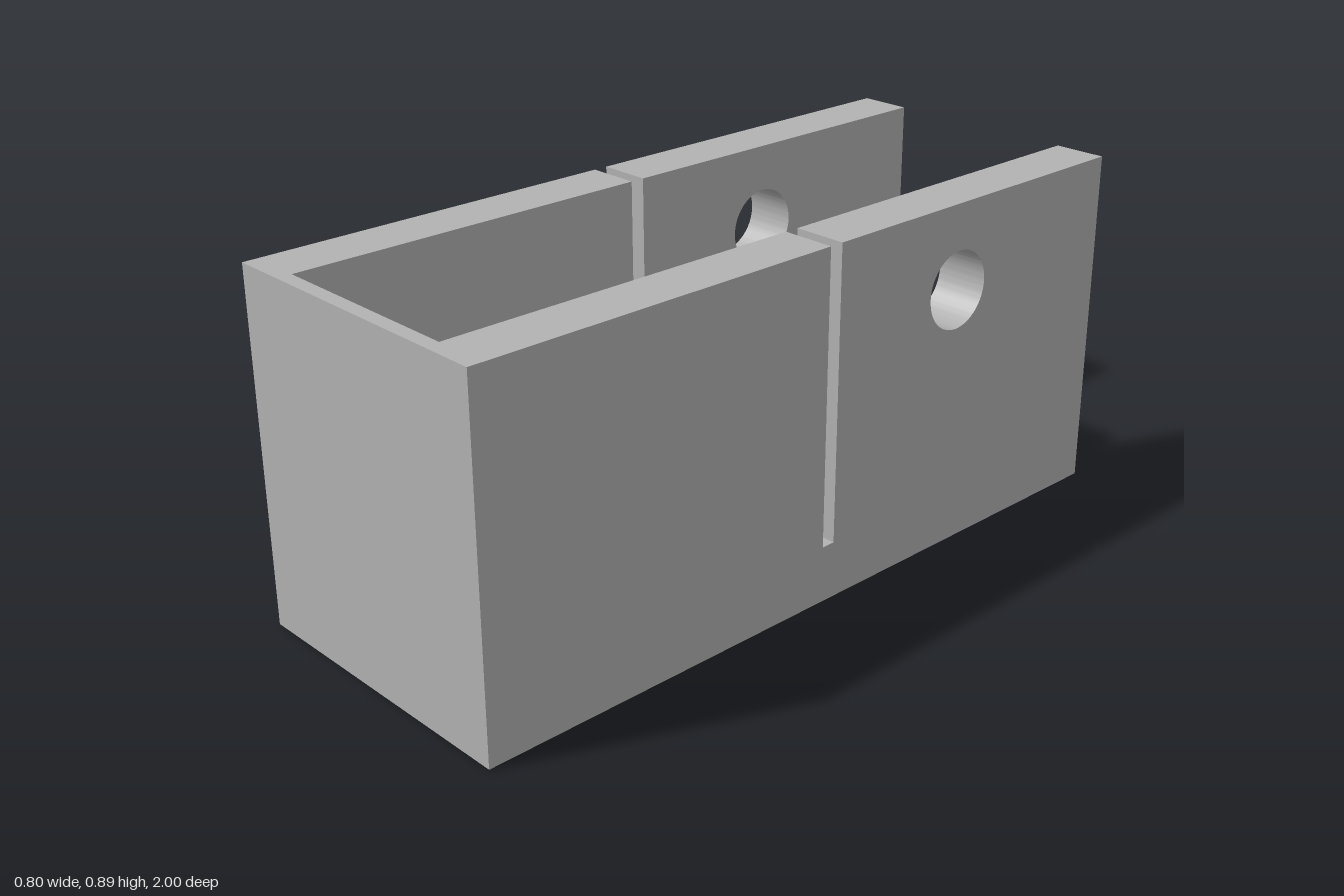
import * as THREE from 'three';
import { toCreasedNormals } from 'three/addons/utils/BufferGeometryUtils.js';

const H = 0.895, HALF_W = 0.4, INNER = 0.262; // height, half width, inner wall face
const SLOT_Y = 0.146, FLOOR_Y = 0.362;        // slot bottom, cavity floor
const SLOT_BACK = -0.029, SLOT_FRONT = 0.008; // cross slot
const CORE = 0.225, FRONT_IN = 0.963;         // narrowed core, inside of front wall

export function createModel() {
  const group = new THREE.Group();
  const grey = new THREE.MeshStandardMaterial({ color: 0xb2b2b2 });
  grey.name = 'grey';

  const add = (name, geometry, x = 0, y = 0, z = 0) => {
    const mesh = new THREE.Mesh(geometry, grey);
    mesh.name = name;
    mesh.position.set(x, y, z);
    group.add(mesh);
  };
  const outline = (points) => new THREE.Shape(points.map(([a, b]) => new THREE.Vector2(a, b)));

  // Side walls: (z, y) profile with the vertical slot and the round hole
  const side = outline([
    [-1, 0], [1, 0], [1, H], [SLOT_FRONT, H], [SLOT_FRONT, SLOT_Y],
    [SLOT_BACK, SLOT_Y], [SLOT_BACK, H], [-1, H],
  ]);
  side.holes.push(new THREE.Path().absarc(-0.445, 0.676, 0.1, 0, Math.PI * 2, true));
  const extruded = new THREE.ExtrudeGeometry(side, {
    depth: HALF_W - INNER, bevelEnabled: false, curveSegments: 48,
  }).rotateY(-Math.PI / 2);
  const wall = toCreasedNormals(extruded, 0.5);
  add('leftWall', wall, HALF_W);
  add('rightWall', wall, -INNER);

  // Front wall between the sides
  add('frontWall', new THREE.BoxGeometry(INNER * 2, H, 1 - FRONT_IN), 0, H / 2, (1 + FRONT_IN) / 2);

  // Base slab under the slots
  add('base', new THREE.BoxGeometry(INNER * 2, SLOT_Y, 1 + FRONT_IN), 0, SLOT_Y / 2, (FRONT_IN - 1) / 2);

  // Raised floor, narrowed at the back to leave the long slots; plan is (x, -z)
  const plan = outline([
    [-INNER, -FRONT_IN], [INNER, -FRONT_IN], [INNER, -SLOT_FRONT], [CORE, -SLOT_FRONT],
    [CORE, 1], [-CORE, 1], [-CORE, -SLOT_FRONT], [-INNER, -SLOT_FRONT],
  ]);
  const floor = new THREE.ExtrudeGeometry(plan, { depth: FLOOR_Y - SLOT_Y, bevelEnabled: false });
  add('floor', floor.rotateX(-Math.PI / 2), 0, SLOT_Y);

  return group;
}
